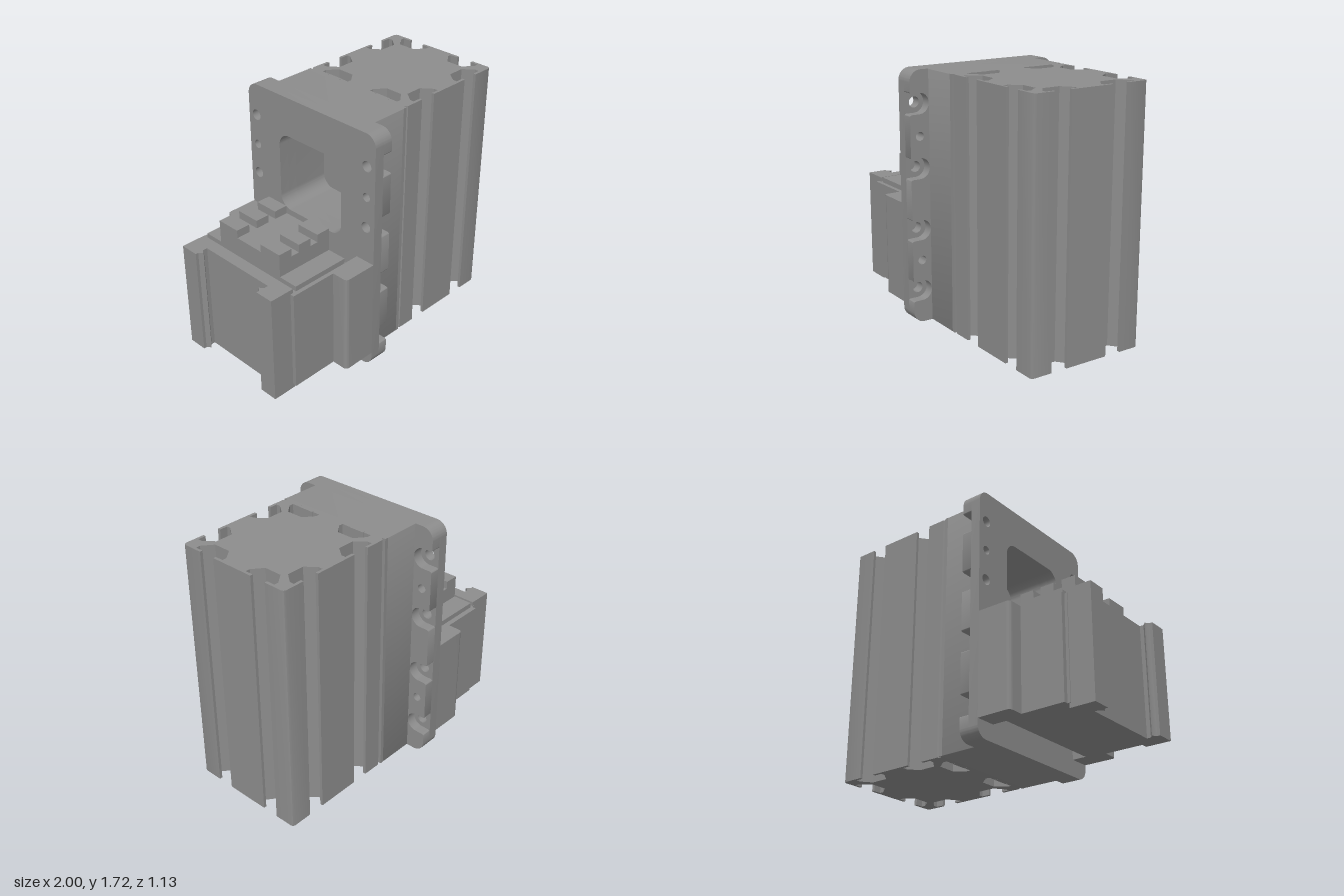
import * as THREE from 'three';
import { toCreasedNormals } from 'three/addons/utils/BufferGeometryUtils.js';

const H = 1.72;

export function createModel() {
  const group = new THREE.Group();
  const grey = new THREE.MeshStandardMaterial({ color: 0x8c8c8c });
  grey.name = 'machined grey';

  const add = (name, geo) => {
    const mesh = new THREE.Mesh(geo, grey);
    mesh.name = name;
    group.add(mesh);
  };
  const box = (name, x0, x1, y0, y1, z0, z1) => {
    const geo = new THREE.BoxGeometry(x1 - x0, y1 - y0, z1 - z0);
    geo.translate((x0 + x1) / 2, (y0 + y1) / 2, (z0 + z1) / 2);
    add(name, geo);
  };
  const extrude = (shape, depth) =>
    new THREE.ExtrudeGeometry(shape, { depth, bevelEnabled: false, curveSegments: 10 });
  // shape drawn in (z, y), extruded along x
  const alongX = (name, shape, x0, x1) => {
    const geo = extrude(shape, x1 - x0);
    geo.rotateY(Math.PI / 2);
    geo.translate(x0, 0, 0);
    add(name, toCreasedNormals(geo, 0.6));
  };
  // shape drawn in (x, -z), extruded along y
  const alongY = (name, shape, y0, y1) => {
    const geo = extrude(shape, y1 - y0);
    geo.rotateX(-Math.PI / 2);
    geo.translate(0, y0, 0);
    add(name, toCreasedNormals(geo, 0.6));
  };
  const roundRect = (s, x0, x1, y0, y1, r) => {
    s.absarc(x1 - r, y0 + r, r, -Math.PI / 2, 0);
    s.absarc(x1 - r, y1 - r, r, 0, Math.PI / 2);
    s.absarc(x0 + r, y1 - r, r, Math.PI / 2, Math.PI);
    s.absarc(x0 + r, y0 + r, r, Math.PI, Math.PI * 1.5);
    s.closePath();
    return s;
  };
  const circle = (x, y, r) => new THREE.Path().absarc(x, y, r, 0, Math.PI * 2);
  const windowHole = () => roundRect(new THREE.Path(), -0.28, 0.28, 0.9, 1.45, 0.09);

  // Mounting flange, rear layer with bolt holes and window
  const boltY = [0.225, 0.65, 1.07, 1.5];
  const pinY = [0.44, 1.285];
  const W = 0.565, R = 0.08, holeZ = 0.495;
  const rear = roundRect(new THREE.Shape(), -W, W, 0, H, R);
  rear.holes.push(windowHole());
  for (const s of [-1, 1]) {
    for (const y of boltY) rear.holes.push(circle(s * holeZ, y, 0.037));
    for (const y of pinY) rear.holes.push(circle(s * holeZ, y, 0.03));
  }
  alongX('flangeRear', rear, -0.27, -0.2);

  // Flange front layer with U-shaped bolt head pockets open to the sides
  const front = new THREE.Shape();
  const n = 0.07, f = 0.02;
  front.absarc(W - R, R, R, -Math.PI / 2, 0);
  for (const y of boltY) {
    front.lineTo(W, y - n - f / 2);
    front.quadraticCurveTo(W, y - n, W - f, y - n);
    front.absarc(holeZ, y, n, -Math.PI / 2, Math.PI / 2, true);
    front.lineTo(W - f, y + n);
    front.quadraticCurveTo(W, y + n, W, y + n + f / 2);
  }
  front.absarc(W - R, H - R, R, 0, Math.PI / 2);
  front.absarc(-W + R, H - R, R, Math.PI / 2, Math.PI);
  for (const y of [...boltY].reverse()) {
    front.lineTo(-W, y + n + f / 2);
    front.quadraticCurveTo(-W, y + n, -W + f, y + n);
    front.absarc(-holeZ, y, n, Math.PI / 2, -Math.PI / 2, true);
    front.lineTo(-W + f, y - n);
    front.quadraticCurveTo(-W, y - n, -W, y - n - f / 2);
  }
  front.absarc(-W + R, R, R, Math.PI, Math.PI * 1.5);
  front.closePath();
  front.holes.push(windowHole());
  for (const s of [-1, 1]) for (const y of pinY) front.holes.push(circle(s * holeZ, y, 0.03));
  alongX('flangeFront', front, -0.2, -0.13);

  // Body behind the flange, with the window pocket
  const body = roundRect(new THREE.Shape(), -0.425, 0.425, 0, H, 0.003);
  body.holes.push(windowHole());
  alongX('body', body, -0.13, 0.13);
  box('pocketBack', 0.13, 0.155, 0, H, -0.425, 0.425);
  for (const s of [-1, 1]) box('slotKey', 0.15, 0.178, 0, H, s * 0.213 - 0.056, s * 0.213 + 0.056);

  // Slotted extrusion: one T-slot section repeated round the outline
  const slot = [[-0.058, 0], [-0.058, 0.02], [-0.115, 0.02], [-0.115, 0.05], [-0.06, 0.12],
    [0.06, 0.12], [0.115, 0.05], [0.115, 0.02], [0.058, 0.02], [0.058, 0]];
  const x0 = 0.155, x1 = 1, z1 = 0.42, c = 0.02;
  const outline = [];
  const corner = (...pts) => pts.forEach(p => outline.push(new THREE.Vector2(...p)));
  const cut = place => slot.forEach(([u, d]) => corner(place(u, d)));
  corner([x0, -z1 + c], [x0 + c, -z1]);
  for (const x of [0.365, 0.787]) cut((u, d) => [x + u, -z1 + d]);
  corner([x1 - c, -z1], [x1 - c * 0.3, -z1 + c * 0.3], [x1, -z1 + c]);
  for (const z of [-0.213, 0.213]) cut((u, d) => [x1 - d, z + u]);
  corner([x1, z1 - c], [x1 - c * 0.3, z1 - c * 0.3], [x1 - c, z1]);
  for (const x of [0.787, 0.365]) cut((u, d) => [x - u, z1 - d]);
  corner([x0 + c, z1], [x0, z1 - c]);
  for (const z of [0.213, -0.213]) cut((u, d) => [x0 + d, z - u]);
  alongY('slottedExtrusion', new THREE.Shape(outline), 0, H);

  // Cheeks joining the rear housing to the flange
  for (const s of [-1, 1]) {
    const cheek = new THREE.Shape();
    cheek.moveTo(-0.27, s * 0.42);
    cheek.lineTo(-0.27, s * W);
    cheek.lineTo(-0.48, s * W);
    cheek.quadraticCurveTo(-0.51, s * W, -0.51, s * (W - 0.03));
    cheek.lineTo(-0.51, s * 0.42);
    alongY('cheek', cheek, 0.115, 0.82);
  }

  // Rear housing and side plates
  box('housing', -0.835, -0.37, 0.115, 0.82, -0.425, 0.425);
  box('sidePlate', -0.815, -0.5, 0.115, 0.82, -0.455, -0.42);
  box('sidePlate', -0.845, -0.5, 0.115, 0.82, 0.42, 0.448);

  // End cap with a vertical channel and small ribs
  const cap = new THREE.Shape();
  cap.moveTo(-0.825, -0.42);
  cap.lineTo(-0.825, 0.42);
  for (const s of [1, -1]) {
    const side = [[-1, 0.42], [-1, 0.29], [-0.98, 0.29], [-0.965, 0.275], [-0.96, 0.26],
      [-0.95, 0.275], [-0.935, 0.29], [-0.908, 0.29]];
    if (s < 0) side.reverse();
    side.forEach(([x, z]) => cap.lineTo(x, s * z));
  }
  cap.closePath();
  alongY('endCap', cap, 0.085, 0.85);

  // Terminal block with two rows of teeth
  box('terminalBase', -0.8, -0.38, 0.82, 0.855, -0.42, 0.42);
  box('terminalBlock', -0.8, -0.38, 0.855, 0.96, -0.28, 0.28);
  for (const s of [-1, 1]) {
    for (const x of [-0.75, -0.588, -0.43]) {
      box('terminalTooth', x - 0.05, x + 0.05, 0.96, 1.015, s * 0.195 - 0.085, s * 0.195 + 0.085);
    }
  }
  return group;
}
